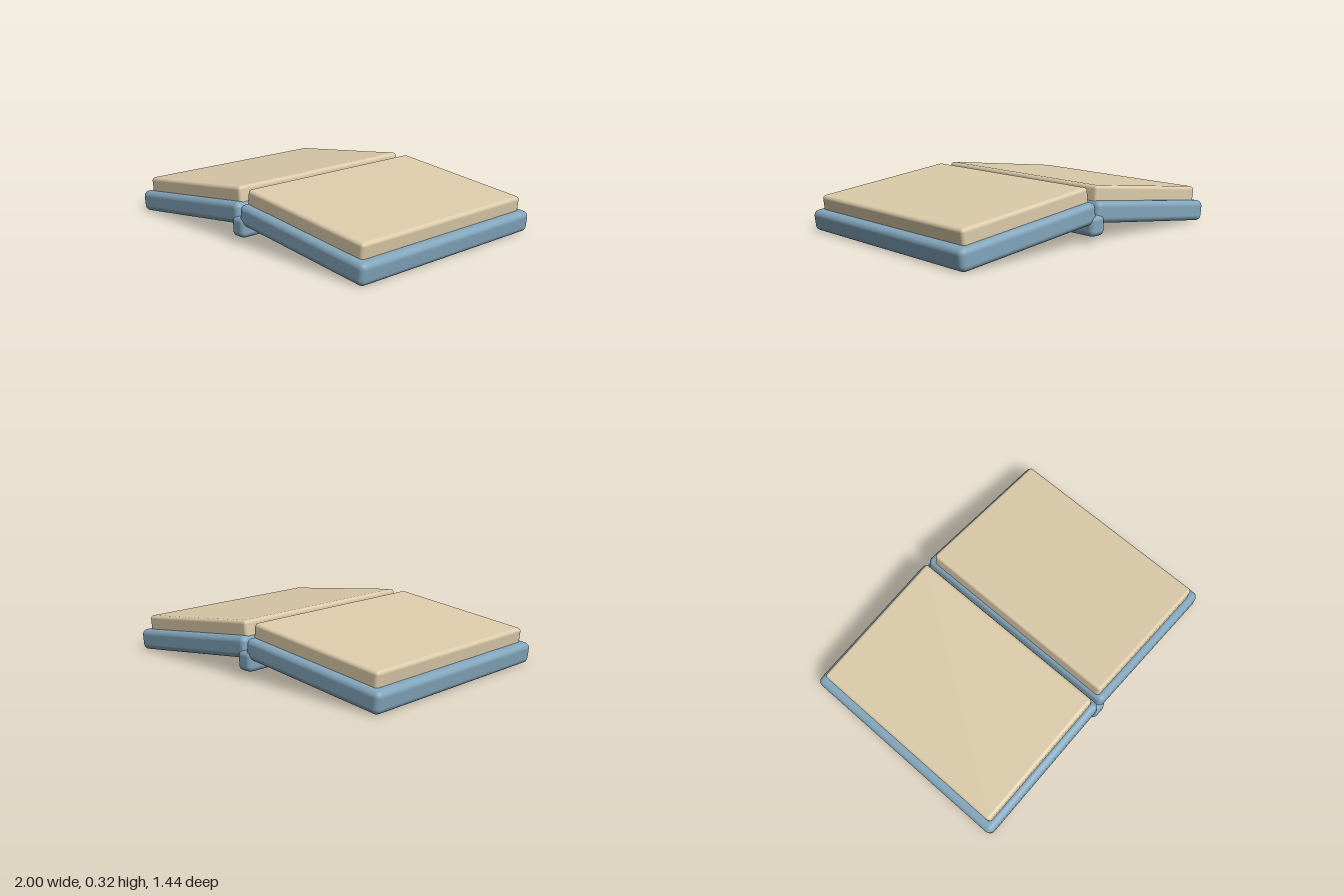
import * as THREE from 'three';
import { RoundedBoxGeometry } from 'three/addons/geometries/RoundedBoxGeometry.js';

export function createModel() {
  const model = new THREE.Group();
  model.name = 'openBook';

  const coverBlue = new THREE.MeshStandardMaterial({ color: 0x82a5bb });
  coverBlue.name = 'cover blue';
  const paperCream = new THREE.MeshStandardMaterial({ color: 0xdccbaa });
  paperCream.name = 'paper cream';

  const tilt = 0.12;

  function block(name, parent, size, radius, material, position) {
    const mesh = new THREE.Mesh(new RoundedBoxGeometry(...size, 4, radius), material);
    mesh.name = name;
    mesh.position.set(...position);
    parent.add(mesh);
    return mesh;
  }

  // Each half: a cover with a page block set into its upper face
  for (const [side, s] of [['left', 1], ['right', -1]]) {
    const half = new THREE.Group();
    half.name = side + 'Half';
    half.position.set(0.5 * s, 0.1195, 0);
    half.rotation.z = -tilt * s;
    block(side + 'Cover', half, [1, 0.128, 1.42], 0.035, coverBlue, [0, 0, 0]);
    block(side + 'Pages', half, [0.928, 0.12, 1.334], 0.022, paperCream, [-0.02 * s, 0.09, 0]);
    model.add(half);
  }

  // Spine bar under the fold
  block('spine', model, [0.11, 0.122, 1.44], 0.032, coverBlue, [0, 0.103, 0]);

  return model;
}
